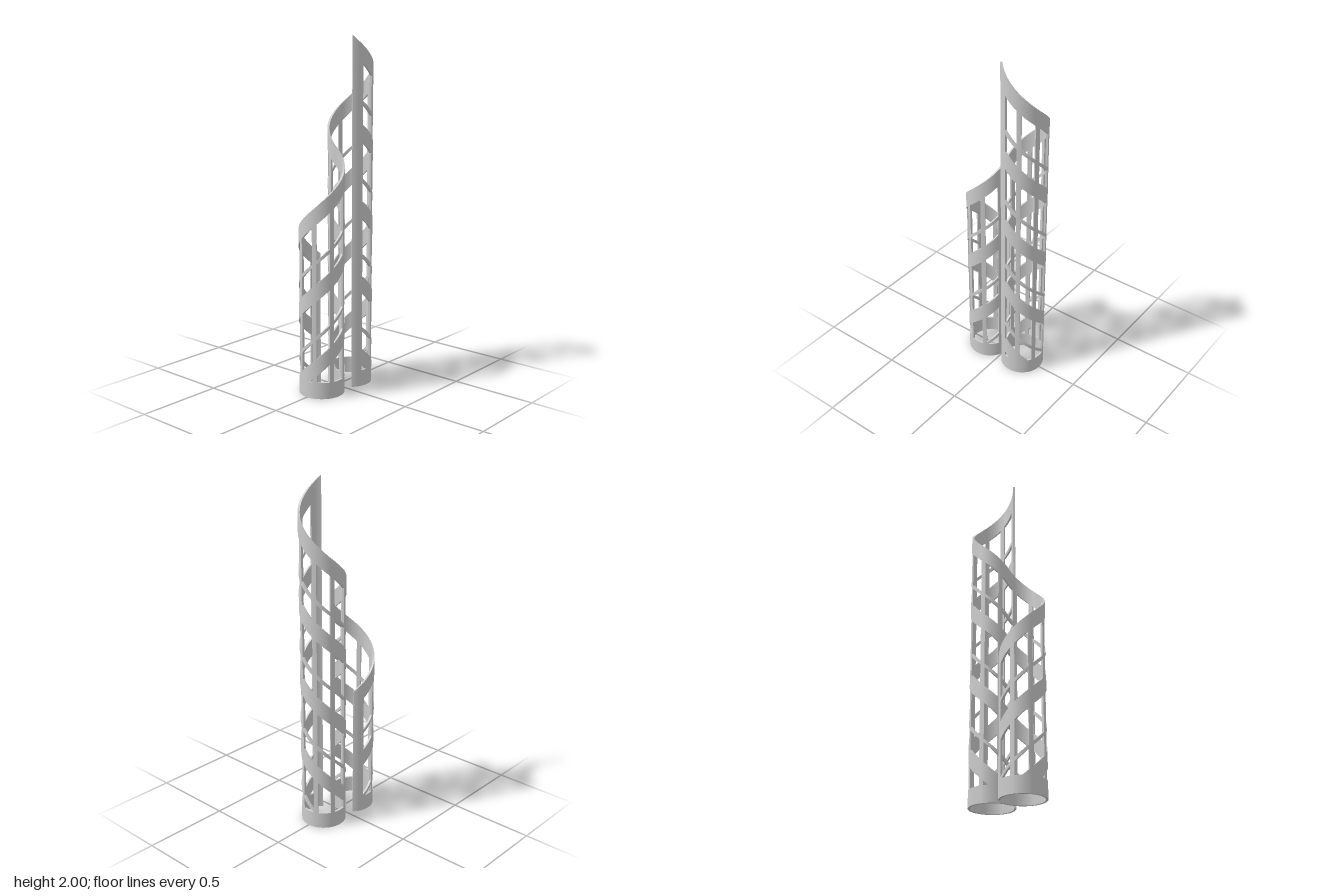
import * as THREE from 'three';
import { mergeGeometries } from 'three/addons/utils/BufferGeometryUtils.js';

const R = 0.122, HALF = 0.006;             // curl radius, half wall thickness
const TURN = 315, END = 2 * TURN;          // degrees swept by each curl, total
const BASE = 0.095, BAND = 0.1, PITCH = 0.43, BAR = 0.3, BAR_H = 0.022;
const HOLE = 33.5;                         // degrees spanned by each opening

// Sloping top edge, falling steadily along the S
const top = (u) => 2 - 0.00194 * u;

// Point on the S-shaped wall: u degrees along it, height y, offset through the wall
function wallPoint(u, y, off) {
  const back = u <= TURN;
  const a = THREE.MathUtils.degToRad(back ? 45 + u : 180 - (u - TURN));
  const r = back ? R + off : R - off;
  return [r * Math.sin(a), y, (back ? -R : R) + r * Math.cos(a)];
}

// Curved solid slab between u0 and u1, bounded by two height functions
function slab(u0, u1, low, high) {
  const n = Math.max(2, Math.ceil((u1 - u0) / 2.8));
  const pos = [], idx = [];
  const ring = (i) => {
    const u = u0 + ((u1 - u0) * i) / n, lo = low(u), hi = Math.max(lo, high(u));
    return [wallPoint(u, lo, HALF), wallPoint(u, hi, HALF), wallPoint(u, hi, -HALF), wallPoint(u, lo, -HALF)];
  };
  const rings = Array.from({ length: n + 1 }, (_, i) => ring(i));
  // four long faces, each with its own vertices so the edges stay sharp
  for (let k = 0; k < 4; k++) {
    const s = pos.length / 3;
    rings.forEach((q) => pos.push(...q[k], ...q[(k + 1) % 4]));
    for (let i = 0; i < n; i++) {
      const a = s + 2 * i;
      idx.push(a, a + 2, a + 3, a, a + 3, a + 1);
    }
  }
  // end caps
  for (const q of [rings[0], [...rings[n]].reverse()]) {
    const s = pos.length / 3;
    q.forEach((p) => pos.push(...p));
    idx.push(s, s + 1, s + 2, s, s + 2, s + 3);
  }
  const g = new THREE.BufferGeometry();
  g.setAttribute('position', new THREE.Float32BufferAttribute(pos, 3));
  g.setIndex(idx);
  g.computeVertexNormals();
  return g;
}

export function createModel() {
  const group = new THREE.Group();
  group.name = 'latticeScreen';
  const material = new THREE.MeshStandardMaterial({ color: 0xcccccc, side: THREE.DoubleSide });
  const uprights = [], base = [], bands = [], bars = [];
  const zero = () => 0, baseTop = () => BASE;

  let from = 0;
  for (let c = 45; c < END; c += 45) {
    const u0 = c - HOLE / 2, u1 = c + HOLE / 2;
    uprights.push(slab(from, u0, zero, top));
    base.push(slab(u0, u1, zero, baseTop));
    // strip parallel to the top edge, cut off where it meets the base
    const strip = (list, drop, height) => {
      if (top(u0) - drop <= BASE) return;
      list.push(slab(u0, u1,
        (u) => Math.max(BASE, top(u) - drop - height),
        (u) => Math.max(BASE, top(u) - drop)));
    };
    for (let d = 0; d < 2; d += PITCH) {
      strip(bands, d, BAND);
      strip(bars, d + BAR, BAR_H);
    }
    from = u1;
  }
  uprights.push(slab(from, END, zero, top));

  for (const [name, list] of Object.entries({ uprights, baseBand: base, spiralBands: bands, thinBars: bars })) {
    const mesh = new THREE.Mesh(mergeGeometries(list), material);
    mesh.name = name;
    group.add(mesh);
  }
  return group;
}
